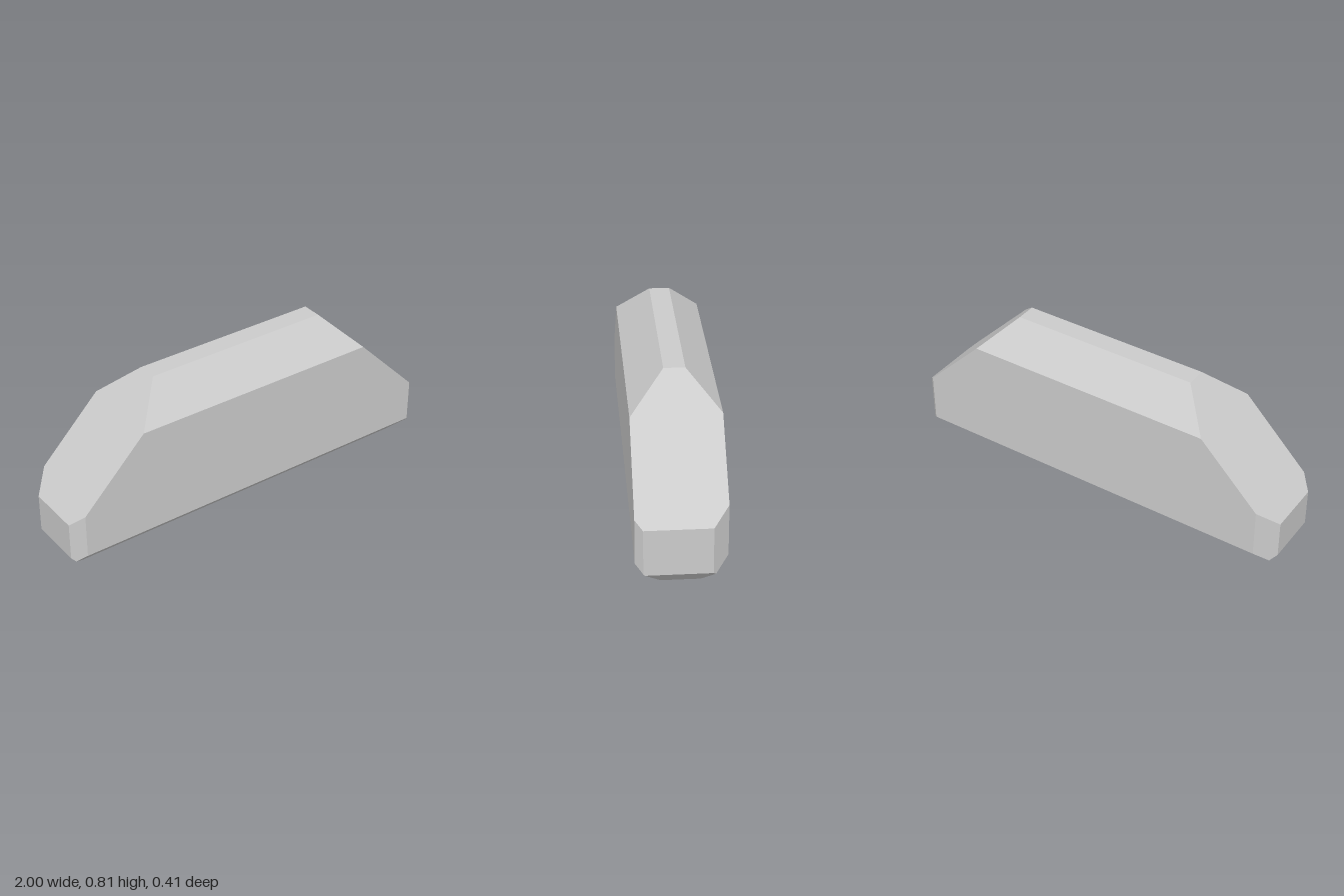
import * as THREE from 'three';
import { ConvexGeometry } from 'three/addons/geometries/ConvexGeometry.js';

// Convex solid bounded by planes [nx, ny, nz, d], each keeping n . p <= d
function solidFromPlanes(planes) {
  const corners = [];
  const m = new THREE.Matrix3();
  for (let i = 0; i < planes.length; i++)
    for (let j = i + 1; j < planes.length; j++)
      for (let k = j + 1; k < planes.length; k++) {
        const [a, b, c] = [planes[i], planes[j], planes[k]];
        m.set(a[0], a[1], a[2], b[0], b[1], b[2], c[0], c[1], c[2]);
        if (Math.abs(m.determinant()) < 1e-6) continue;
        const p = new THREE.Vector3(a[3], b[3], c[3]).applyMatrix3(m.invert());
        const inside = planes.every(([x, y, z, d]) => x * p.x + y * p.y + z * p.z <= d + 1e-6);
        if (inside && !corners.some((q) => q.distanceTo(p) < 1e-4)) corners.push(p);
      }
  return new ConvexGeometry(corners);
}

export function createModel() {
  const group = new THREE.Group();
  group.name = 'bevelledBlock';

  const planes = [
    // box sides
    [1, 0, 0, 1], [-1, 0, 0, 1],
    [0, 1, 0, 0.813], [0, -1, 0, 0],
    [0, 0, 1, 0.205], [0, 0, -1, 0.205],
    // sloping ends and lower end bevels
    [1, 1, 0, 1.295], [-1, 1, 0, 1.277],
    [1, -1, 0, 0.928], [-1, -1, 0, 0.91],
    // long bevels along the top and bottom
    [0, 1, 1, 0.859], [0, 1, -1, 0.865],
    [0, -1, 1, 0.091], [0, -1, -1, 0.085],
    // upright corner bevels
    [1, 0, 1, 1.17], [-1, 0, 1, 1.149],
    [1, 0, -1, 1.134], [-1, 0, -1, 1.12],
  ];

  const body = new THREE.Mesh(
    solidFromPlanes(planes),
    new THREE.MeshStandardMaterial({ color: 0xcccccc, flatShading: true })
  );
  body.name = 'body';
  group.add(body);
  return group;
}
